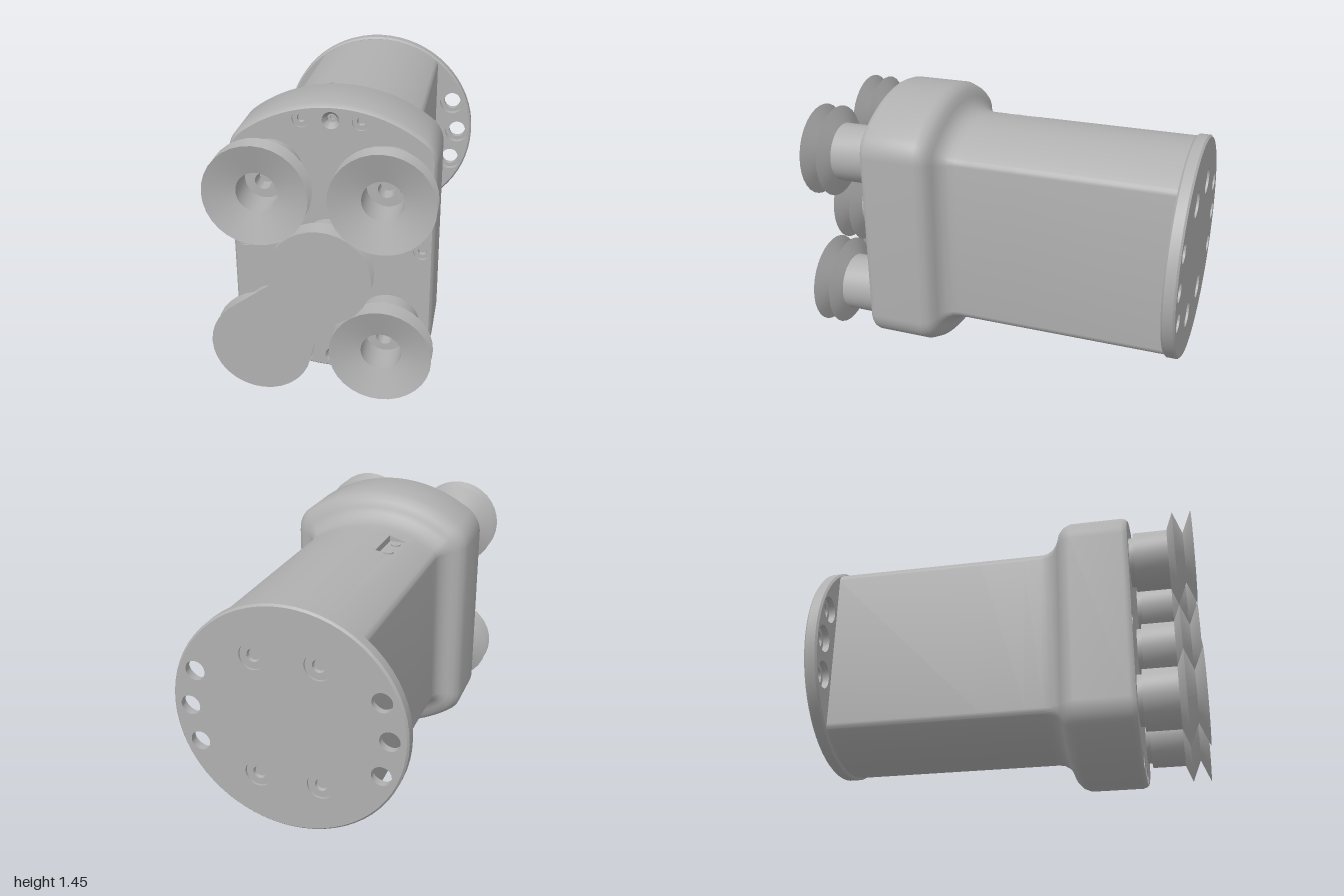
import * as THREE from 'three';
import { toCreasedNormals } from 'three/addons/utils/BufferGeometryUtils.js';

const grey = new THREE.MeshStandardMaterial({ color: 0xb0b0b0 });
grey.name = 'grey';
const sheetGrey = new THREE.MeshStandardMaterial({ color: 0xb0b0b0, side: THREE.DoubleSide });
sheetGrey.name = 'sheet grey';

const CREASE = 0.6;
const FRONT = 0.67, BACK = -1, FLANGE = -0.93;

function add(parent, name, geometry, x = 0, y = 0, z = 0, material = grey) {
  const mesh = new THREE.Mesh(geometry, material);
  mesh.name = name;
  mesh.position.set(x, y, z);
  parent.add(mesh);
  return mesh;
}

// Turned part around the z axis; points are [radius, z]
function turned(points, segments = 32) {
  const g = new THREE.LatheGeometry(points.map(p => new THREE.Vector2(...p)), segments);
  return toCreasedNormals(g.rotateX(Math.PI / 2), CREASE);
}

function circle(x, y, r, n = 32) {
  return Array.from({ length: n }, (_, i) => {
    const a = (i / n) * Math.PI * 2;
    return new THREE.Vector2(x + r * Math.cos(a), y + r * Math.sin(a));
  });
}

// Flat face with round holes given as [x, y, radius]
function plate(points, holes = []) {
  const shape = new THREE.Shape(points);
  holes.forEach(h => shape.holes.push(new THREE.Path().setFromPoints(circle(...h))));
  return new THREE.ShapeGeometry(shape);
}

// Circle of radius R cut by flats at x = +-w, with corners rounded by r
function outline(w, R, r) {
  const cx = w - r, cy = Math.sqrt((R - r) ** 2 - cx ** 2), a = Math.atan2(cy, cx);
  const quarter = [];
  for (let i = 0; i <= 8; i++) {
    const t = (a * i) / 8;
    quarter.push([cx + r * Math.cos(t), cy + r * Math.sin(t)]);
  }
  for (let i = 1; i <= 16; i++) {
    const t = a + ((Math.PI / 2 - a) * i) / 16;
    quarter.push([R * Math.cos(t), R * Math.sin(t)]);
  }
  const half = [...quarter, ...quarter.slice(0, -1).reverse().map(([x, y]) => [-x, y])];
  return [...half, ...half.map(([x, y]) => [-x, -y])].map(p => new THREE.Vector2(...p));
}

// Skin through outlines running from front to back
function loft(sections) {
  const n = sections[0].points.length, pos = [], index = [];
  sections.forEach(s => s.points.forEach(p => pos.push(p.x, p.y, s.z)));
  for (let i = 0; i < sections.length - 1; i++) {
    for (let j = 0; j < n; j++) {
      const a = i * n + j, b = i * n + ((j + 1) % n), c = a + n, d = b + n;
      index.push(a, c, b, b, c, d);
    }
  }
  const g = new THREE.BufferGeometry();
  g.setAttribute('position', new THREE.Float32BufferAttribute(pos, 3));
  g.setIndex(index);
  return toCreasedNormals(g, CREASE);
}

// Cuts a flat-bottomed step into the top of an outline
function notched(points, x0, x1, floor) {
  const out = points.map(p => p.clone());
  for (let j = 1; j < out.length; j++) {
    const p = points[j];
    if (p.y < 0 || p.x < x0 || p.x > x1) continue;
    if (points[j - 1].x > x1) {
      out[j - 1].set(x1, points[j - 1].y);
      out[j].set(x1 - 0.001, floor);
    } else out[j].y = Math.min(p.y, floor);
  }
  return out;
}

export function createModel() {
  const model = new THREE.Group();
  model.name = 'vacuumGripper';
  const root = new THREE.Group();
  root.name = 'gripper';
  root.position.y = 0.725;
  model.add(root);

  // Head with rounded edges, flowing into the narrower body
  const headAt = d => outline(0.5 - d, 0.725 - d, 0.15 - d);
  const blend = f => outline(0.5 - 0.137 * f, 0.725 - 0.15 * f, 0.15 - 0.1 * f);
  const sections = [[FRONT, 0.016], [0.661, 0.007], [0.642, 0]]
    .map(([z, d]) => ({ z, points: headAt(d) }));
  [[0.37, 0], [0.335, 0.1], [0.31, 0.28], [0.298, 0.5], [0.285, 0.68], [0.265, 0.84], [0.235, 0.96], [0.2, 1]]
    .forEach(([z, f]) => sections.push({ z, points: blend(f) }));

  // Body with a connector recess on top
  const body = blend(1), floor = 0.531;
  const cut = notched(body, -0.22, -0.13, floor);
  sections.push({ z: 0.11, points: body }, { z: 0.11, points: cut },
    { z: -0.125, points: cut }, { z: -0.125, points: body }, { z: FLANGE, points: body });
  add(root, 'housing', loft(sections));
  for (const z of [-0.07, 0.055]) {
    add(root, 'connectorButton', new THREE.CylinderGeometry(0.025, 0.025, 0.016, 24), -0.18, floor, z);
  }

  // Front face with recessed screws and countersunk centre holes
  const screws = [[-0.44, 0], [0.44, 0]], sinks = [];
  for (const s of [1, -1]) {
    screws.push([-0.141, 0.648 * s], [0.141, 0.648 * s]);
    sinks.push([0, 0.648 * s]);
  }
  const rs = 0.042;
  add(root, 'frontFace', plate(headAt(0.016), [...screws, ...sinks].map(p => [...p, rs])), 0, 0, FRONT);
  const screw = r => turned([[r, 0], [r, -0.012], [r * 0.48, -0.012], [r * 0.42, -0.03], [0, -0.03]]);
  const frontScrew = screw(rs);
  const sink = turned([[rs, 0], [0.023, -0.03], [0.023, -0.045], [0.012, -0.045], [0.012, -0.06], [0, -0.06]]);
  screws.forEach(([x, y]) => add(root, 'frontScrew', frontScrew, x, y, FRONT));
  sinks.forEach(([x, y]) => add(root, 'countersunkHole', sink, x, y, FRONT));

  // Mounting flange: rim, two faces, stepped through holes and rear screws
  const mounts = [], rearScrews = [];
  for (const sx of [1, -1]) {
    mounts.push([0.498 * sx, 0], [0.46 * sx, 0.19], [0.46 * sx, -0.19]);
    rearScrews.push([0.16 * sx, 0.313], [0.16 * sx, -0.313]);
  }
  const disc = circle(0, 0, 0.577, 64);
  add(root, 'flangeRim', turned([[0.577, BACK], [0.587, BACK + 0.01], [0.587, FLANGE - 0.01], [0.577, FLANGE]], 64));
  add(root, 'flangeFrontFace', plate(disc, mounts.map(p => [...p, 0.072])), 0, 0, FLANGE);
  const rear = [...mounts.map(p => [...p, 0.05]), ...rearScrews.map(p => [...p, 0.068])];
  add(root, 'flangeRearFace', plate(disc, rear), 0, 0, BACK).rotation.y = Math.PI;
  const bore = turned([[0.072, FLANGE], [0.072, -0.965], [0.05, -0.965], [0.05, BACK]]);
  mounts.forEach(([x, y]) => add(root, 'mountingHole', bore, x, y, 0));
  const rearScrew = screw(0.068);
  rearScrews.forEach(([x, y]) => {
    add(root, 'rearScrew', rearScrew, x, y, BACK).rotation.y = Math.PI;
  });

  // Five bellows suction cups, hollow inside
  const R = 0.243, cx = 0.285, cy = 0.395;
  const cup = turned([
    [0.13, 0.66], [0.13, 0.695], [0.155, 0.695], [0.155, 0.87], [R, 0.905], [0.13, 0.952], [R, 1],
    [0.097, 0.955], [0.097, 0.8], [0.063, 0.8], [0.063, 0.83], [0.04, 0.83], [0.036, 0.76], [0, 0.76],
  ]);
  [[0, 0], [cx, cy], [-cx, cy], [cx, -cy], [-cx, -cy]]
    .forEach(([x, y]) => add(root, 'suctionCup', cup, x, y, 0));

  // Flat sheet closing the centre and lower right cups and bridging them
  for (const [x, y] of [[0, 0], [-cx, -cy]]) {
    add(root, 'cupCover', plate(circle(x, y, R)), 0, 0, 1, sheetGrey);
  }
  const web = [[-0.235, -0.055], [-0.444, -0.209], [-0.3, -0.4], [-0.055, -0.465], [0.004, -0.243], [0, 0]];
  add(root, 'coverBridge', plate(web.map(p => new THREE.Vector2(...p))), 0, 0, 1, sheetGrey);

  return model;
}
